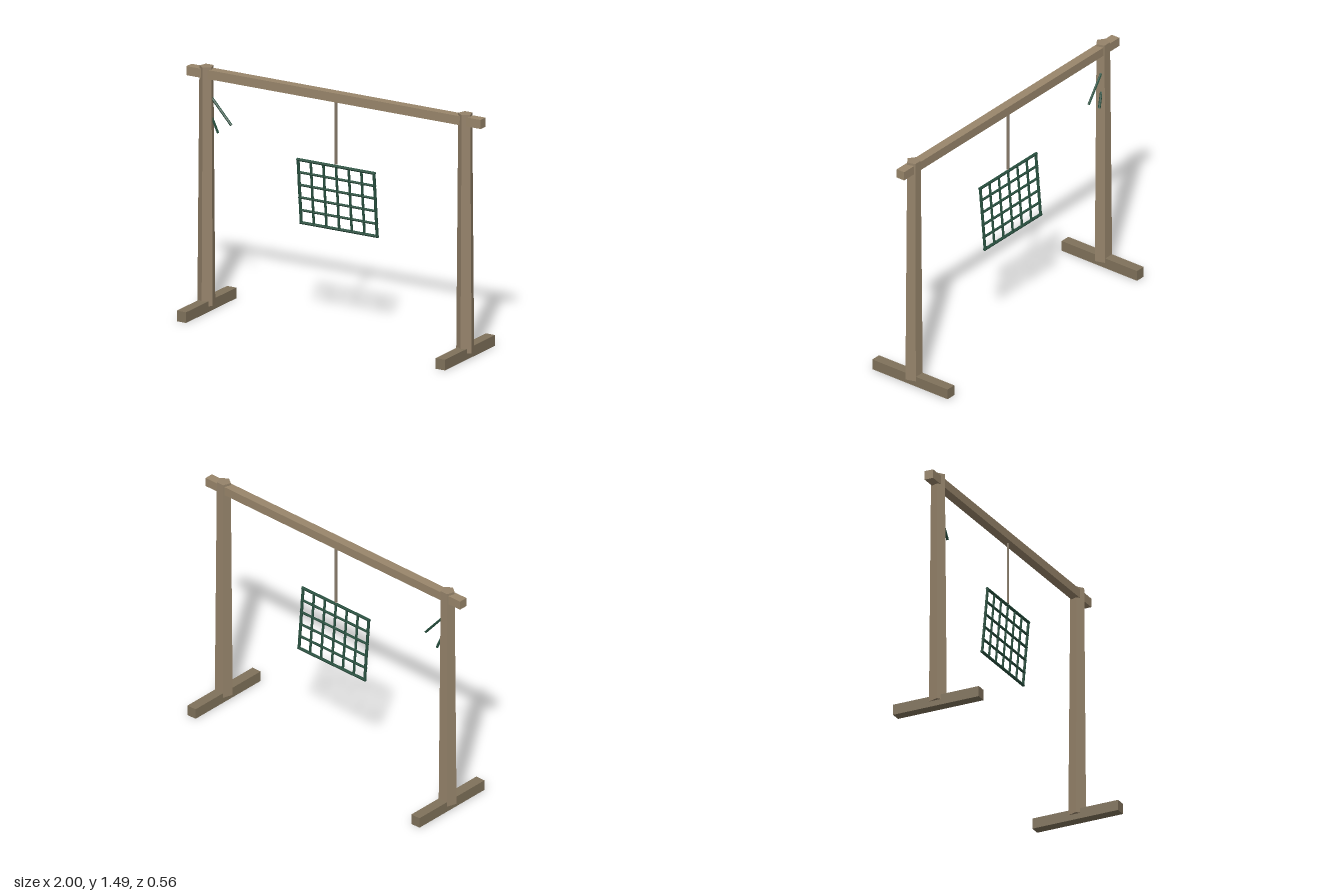
import * as THREE from 'three';

const material = (color) => new THREE.MeshStandardMaterial({ color, flatShading: true });

const postWood = material(0x95836a);
const footWood = material(0x80725b);
const beamWood = material(0x99866b);
const ropeFibre = material(0x8a7d6c);
const green = material(0x28503f);

function add(parent, name, geometry, mat, x = 0, y = 0, z = 0) {
  const mesh = new THREE.Mesh(geometry, mat);
  mesh.name = name;
  mesh.position.set(x, y, z);
  parent.add(mesh);
  return mesh;
}

// Straight round bar between two points
function bar(parent, name, from, to, radius, mat, sides = 6) {
  const a = new THREE.Vector3(...from);
  const b = new THREE.Vector3(...to);
  const dir = b.clone().sub(a);
  const mesh = add(parent, name, new THREE.CylinderGeometry(radius, radius, dir.length(), sides), mat);
  mesh.position.copy(a).add(b).multiplyScalar(0.5);
  mesh.quaternion.setFromUnitVectors(new THREE.Vector3(0, 1, 0), dir.normalize());
  return mesh;
}

export function createModel() {
  const model = new THREE.Group();
  model.name = 'hangingFrame';

  // Tapered five-sided posts standing on floor beams
  for (const [side, s] of [['left', 1], ['right', -1]]) {
    add(model, side + 'Post', new THREE.CylinderGeometry(0.043, 0.055, 1.45, 5), postWood, s * 0.88, 0.76, 0);
    add(model, side + 'Foot', new THREE.BoxGeometry(0.063, 0.065, 0.56), footWood, s * 0.88, 0.0325, 0);
  }

  // Crossbeam through the post tops
  add(model, 'crossbeam', new THREE.BoxGeometry(2, 0.055, 0.055), beamWood, 0, 1.443, 0);

  // Rope holding the net
  bar(model, 'rope', [0, 1.03, 0], [0, 1.43, 0], 0.008, ropeFibre);

  // Net hinged at its top edge, its lower edge swung slightly back
  const net = new THREE.Group();
  net.name = 'net';
  net.position.set(0, 1.017, 0);
  net.rotation.x = 0.09;
  model.add(net);
  const w = 0.258, h = 0.395, cols = 6, rows = 5;
  for (let i = 0; i <= cols; i++) {
    const x = -w + (2 * w * i) / cols;
    const r = i % cols === 0 ? 0.009 : 0.0075;
    bar(net, 'netUpright', [x, 0, 0], [x, -h, 0], r, green);
  }
  for (let j = 0; j <= rows; j++) {
    const y = (-h * j) / rows;
    const r = j % rows === 0 ? 0.009 : 0.0075;
    bar(net, 'netCrossbar', [-w - 0.008, y, 0], [w + 0.008, y, 0], r, green);
  }

  // Two pegs slanting down from the right post
  bar(model, 'upperPeg', [-0.87, 1.314, -0.01], [-0.724, 1.143, -0.02], 0.008, green);
  bar(model, 'lowerPeg', [-0.86, 1.195, -0.01], [-0.817, 1.08, -0.025], 0.008, green);

  return model;
}
